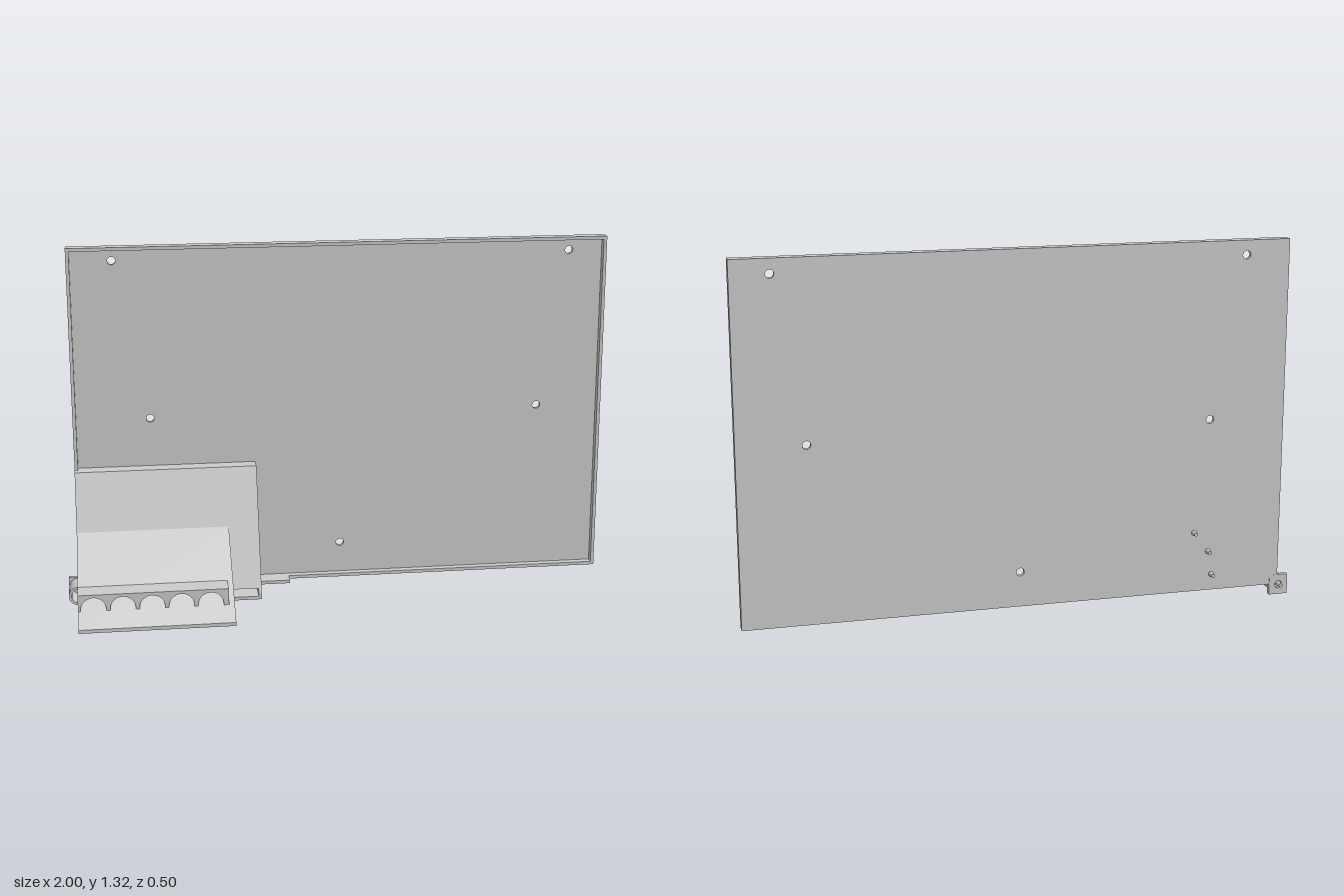
import * as THREE from 'three';

const material = new THREE.MeshStandardMaterial({ color: 0xcccccc });

function add(group, name, geometry) {
  const mesh = new THREE.Mesh(geometry, material);
  mesh.name = name;
  group.add(mesh);
  return mesh;
}

function boxBetween([x0, y0, z0], [x1, y1, z1]) {
  return new THREE.BoxGeometry(x1 - x0, y1 - y0, z1 - z0)
    .translate((x0 + x1) / 2, (y0 + y1) / 2, (z0 + z1) / 2);
}

function polygon(points) {
  return new THREE.Shape(points.map(([a, b]) => new THREE.Vector2(a, b)));
}

function rectangle(x0, y0, x1, y1) {
  return polygon([[x0, y0], [x1, y0], [x1, y1], [x0, y1]]);
}

function circle(x, y, r) {
  return new THREE.Path().absarc(x, y, r, 0, Math.PI * 2, true);
}

// Extrude an x-y outline from z0 to z1
function extrudeZ(shape, z0, z1) {
  return new THREE.ExtrudeGeometry(shape, { depth: z1 - z0, bevelEnabled: false, curveSegments: 20 })
    .translate(0, 0, z0);
}

// Extrude a side profile of [z, y] points from x0 to x1
function extrudeX(points, x0, x1) {
  const shape = polygon(points.map(([z, y]) => [-z, y]));
  return new THREE.ExtrudeGeometry(shape, { depth: x1 - x0, bevelEnabled: false })
    .rotateY(Math.PI / 2).translate(x0, 0, 0);
}

export function createModel() {
  const model = new THREE.Group();
  const left = -0.96, bottom = 0.04, top = 1.317;
  const back = -0.225, floor = -0.21, front = -0.183;

  // Shallow tray: back sheet with mounting holes, and a thin rim
  const sheet = rectangle(left, bottom, 1, top);
  const holes = [[-0.8, 1.265], [0.865, 1.265], [-0.68, 0.68], [0.76, 0.68], [0.017, 0.168]];
  for (const [x, y] of holes) sheet.holes.push(circle(x, y, 0.0145));
  add(model, 'backPanel', extrudeZ(sheet, back, floor));

  const rim = rectangle(left, bottom, 1, top);
  const t = 0.012;
  rim.holes.push(rectangle(left + t, bottom + t, 1 - t, top - t));
  add(model, 'panelRim', extrudeZ(rim, floor, front));

  // Tall sloped bracket, with a low slot beside the shelf
  const bracket = [[floor, bottom], [0.01, bottom], [0.01, 0.06], [-0.155, 0.5], [floor, 0.5]];
  const slotted = [[floor, bottom], [0.01, bottom], [0.01, 0.052], [-0.1, 0.052], [-0.1, 0.08],
    [0.0025, 0.08], [-0.155, 0.5], [floor, 0.5]];
  const bracketGroup = new THREE.Group();
  bracketGroup.name = 'bracket';
  add(bracketGroup, 'bracketBody', extrudeX(bracket, left, -0.41));
  add(bracketGroup, 'bracketSlot', extrudeX(slotted, -0.41, -0.31));
  add(bracketGroup, 'bracketEnd', extrudeX(bracket, -0.31, -0.299));
  model.add(bracketGroup);

  // Sloped shelf in front of the bracket
  add(model, 'slopedShelf', extrudeX(
    [[-0.1, bottom], [0.25, bottom], [0.25, 0.053], [-0.08, 0.297], [-0.1, 0.297]], left, -0.41));

  // Rail with a row of arches underneath
  const rail = new THREE.Shape();
  const railBottom = 0.09, springLine = 0.102, radius = 0.045;
  rail.moveTo(left, railBottom);
  for (let i = 0; i < 5; i++) {
    const x = -0.906 + i * 0.103;
    rail.lineTo(x - radius, railBottom);
    rail.lineTo(x - radius, springLine);
    rail.absarc(x, springLine, radius, Math.PI, 0, true);
    rail.lineTo(x + radius, railBottom);
  }
  rail.lineTo(-0.43, railBottom);
  rail.lineTo(-0.43, 0.158);
  rail.lineTo(left, 0.158);
  add(model, 'archedRail', extrudeZ(rail, 0.108, 0.19));

  // Small ledge along the foot of the panel
  add(model, 'footLedge', boxBetween([-0.32, bottom, floor], [-0.18, 0.052, -0.137]));

  // Corner mount: square plate and a tube
  const cx = -0.965, cy = 0.037;
  const plate = rectangle(-1, 0, -0.93, 0.075);
  plate.holes.push(circle(cx, cy, 0.014));
  add(model, 'cornerPlate', extrudeZ(plate, back - 0.001, floor));
  const tube = new THREE.Shape().absarc(cx, cy, 0.035, 0, Math.PI * 2, false);
  tube.holes.push(circle(cx, cy, 0.025));
  add(model, 'cornerTube', extrudeZ(tube, floor, -0.115));

  // Tapered pegs poking out of the back
  for (const [x, y] of [[-0.63, 0.262], [-0.685, 0.188], [-0.7, 0.1], [cx, 0.04]]) {
    const peg = new THREE.CylinderGeometry(0.011, 0.007, 0.042, 16).rotateX(Math.PI / 2);
    add(model, 'backPeg', peg.translate(x, y, -0.229));
  }
  return model;
}
